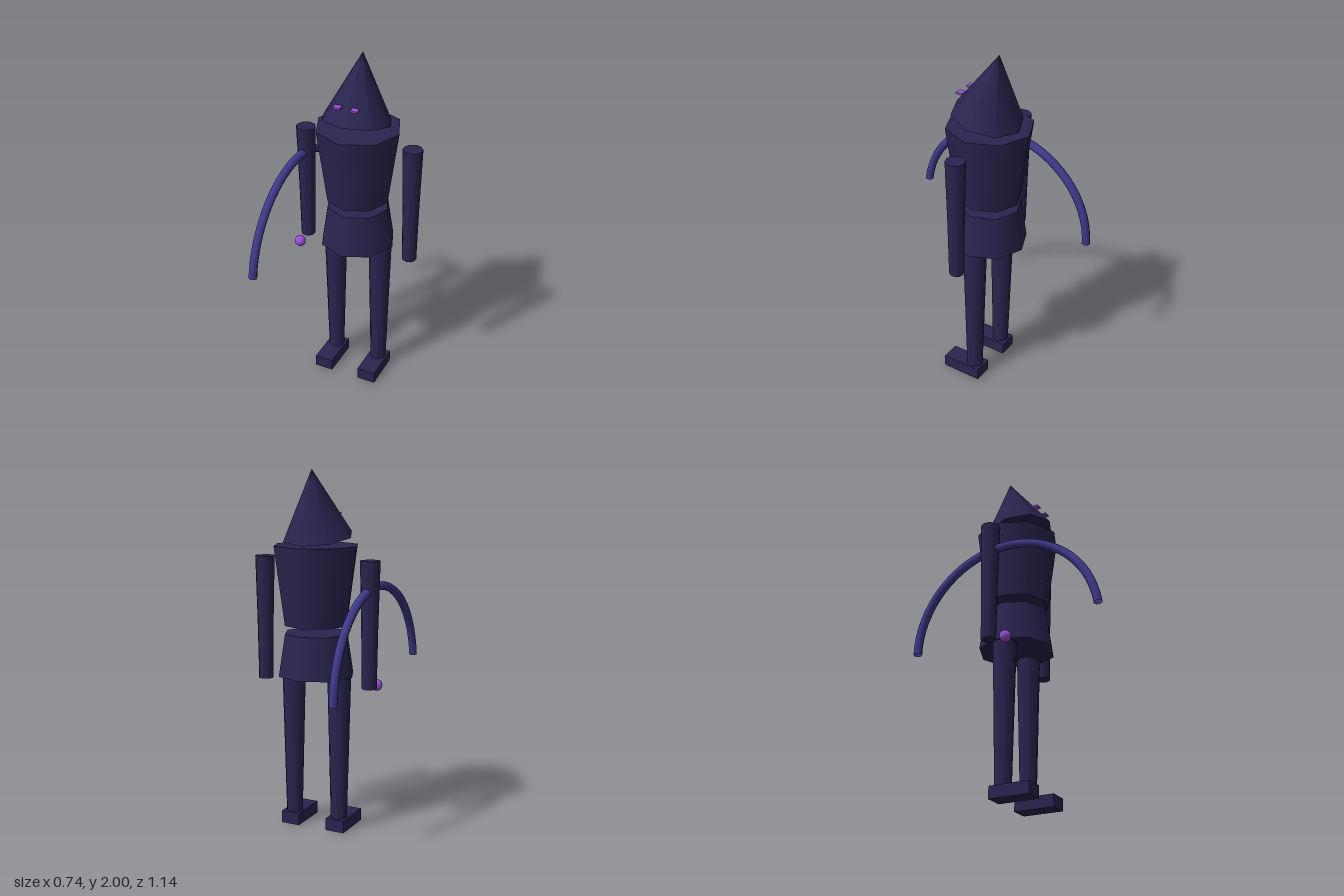
import * as THREE from 'three';

export function createModel() {
  const model = new THREE.Group();
  const cloth = new THREE.MeshStandardMaterial({ color: 0x2a2550 });
  const bowMat = new THREE.MeshStandardMaterial({ color: 0x3f3a8c, side: THREE.DoubleSide });
  const glow = new THREE.MeshStandardMaterial({ color: 0x9b4fd8 });

  const add = (name, geometry, material, x, y, z) => {
    const mesh = new THREE.Mesh(geometry, material);
    mesh.name = name;
    mesh.position.set(x, y, z);
    model.add(mesh);
    return mesh;
  };
  // Tapered upright column between two heights
  const column = (name, rTop, rBottom, y0, y1, x, sides) =>
    add(name, new THREE.CylinderGeometry(rTop, rBottom, y1 - y0, sides), cloth, x, (y0 + y1) / 2, -0.1);

  // Torso and skirt
  column('torso', 0.24, 0.18, 1.16, 1.595, 0, 8);
  column('skirt', 0.18, 0.217, 0.88, 1.115, 0, 8);

  // Hood, a cone leaning back
  add('hood', new THREE.ConeGeometry(0.198, 0.37, 8), cloth, 0, 1.82, -0.118).rotation.x = -0.19;

  // Limbs and eyes, mirrored
  for (const [side, s] of [['left', 1], ['right', -1]]) {
    column(side + 'UpperArm', 0.055, 0.046, 1.165, 1.525, s * 0.32, 10);
    column(side + 'Forearm', 0.046, 0.041, 0.83, 1.165, s * 0.32, 10);
    column(side + 'Leg', 0.066, 0.046, 0.07, 0.88, s * 0.14, 10);
    add(side + 'Foot', new THREE.BoxGeometry(0.11, 0.07, 0.235), cloth, s * 0.14, 0.035, -0.038);
    add(side + 'Eye', new THREE.BoxGeometry(0.038, 0.01, 0.038), glow, s * 0.05, 1.76, 0.05);
  }

  // Bow arc in the side plane, with a glowing orb at its centre
  add('bow', new THREE.TorusGeometry(0.547, 0.024, 8, 32, 3.0), bowMat, -0.32, 0.83, 0).rotation.y = Math.PI / 2;
  add('orb', new THREE.SphereGeometry(0.033, 8, 8), glow, -0.32, 0.83, 0.003);

  return model;
}
